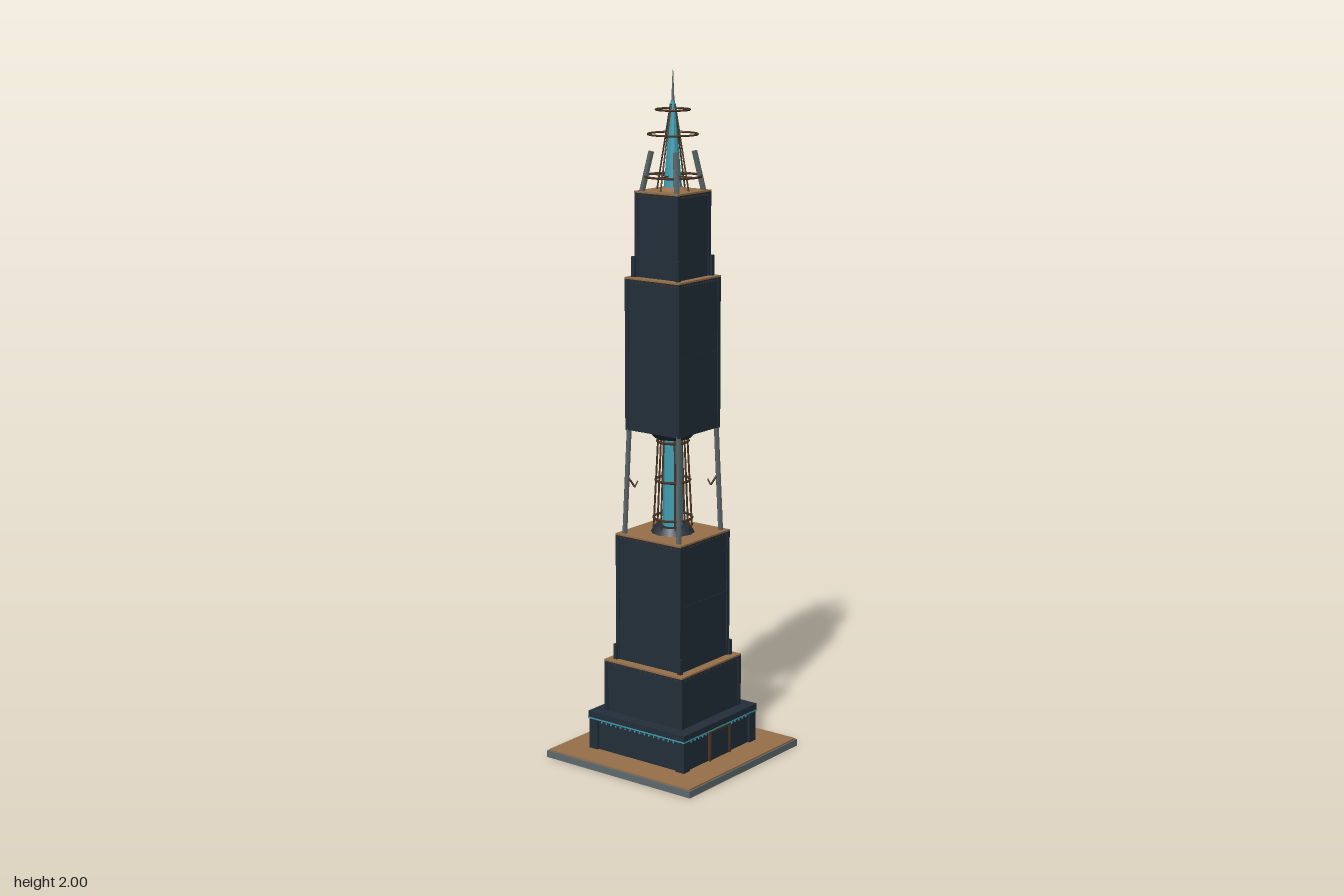
import * as THREE from 'three';
import { mergeGeometries } from 'three/addons/utils/BufferGeometryUtils.js';

const mat = (name, color) => {
  const m = new THREE.MeshStandardMaterial({ color });
  m.name = name;
  return m;
};

export function createModel() {
  const slate = mat('dark slate', 0x232f3a);
  const bronze = mat('bronze', 0x966f4a);
  const darkBronze = mat('dark bronze', 0x4a3522);
  const steel = mat('steel', 0x5f6b6e);
  const glass = mat('teal glass', 0x3f9fb2);

  const group = new THREE.Group();
  group.name = 'tower';
  const add = (name, geo, material) => {
    const m = new THREE.Mesh(geo, material);
    m.name = name;
    group.add(m);
    return m;
  };
  // Box given its centre x, z and its bottom and top heights
  const box = (w, d, y0, y1, x = 0, z = 0) =>
    new THREE.BoxGeometry(w, y1 - y0, d).translate(x, (y0 + y1) / 2, z);
  // Straight bar between two points
  const bar = (a, b, r, sides = 5) => {
    const p = new THREE.Vector3(...a), q = new THREE.Vector3(...b);
    const dir = q.clone().sub(p);
    const g = new THREE.CylinderGeometry(r, r, dir.length(), sides);
    g.applyQuaternion(new THREE.Quaternion().setFromUnitVectors(new THREE.Vector3(0, 1, 0), dir.normalize()));
    return g.translate((p.x + q.x) / 2, (p.y + q.y) / 2, (p.z + q.z) / 2);
  };
  const drum = (rTop, rBottom, y0, y1, sides) =>
    new THREE.CylinderGeometry(rTop, rBottom, y1 - y0, sides).toNonIndexed().translate(0, (y0 + y1) / 2, 0);
  const hoop = (r, y, tube) =>
    new THREE.TorusGeometry(r, tube, 5, 24).rotateX(Math.PI / 2).translate(0, y, 0);
  const corners = [[1, 1], [1, -1], [-1, -1], [-1, 1]];

  // Row of studs around all four faces
  const studs = (half, y, count, s = 0.004) => {
    const list = [];
    for (let side = 0; side < 4; side++) {
      for (let i = 0; i < count; i++) {
        const x = ((i + 0.5) / count - 0.5) * 2 * half * 0.94;
        list.push(new THREE.BoxGeometry(s, s, 0.004).translate(x, y, half).rotateY(side * Math.PI / 2));
      }
    }
    return mergeGeometries(list);
  };

  // Ground slab
  add('baseSlab', box(0.528, 0.528, 0, 0.02), steel);
  add('basePaving', box(0.518, 0.518, 0.02, 0.024), bronze);

  // Entrance storey with cornice and corner piers
  add('entranceStorey', box(0.336, 0.336, 0.024, 0.116), slate);
  add('cornice', box(0.354, 0.354, 0.12, 0.138), slate);
  add('corniceLight', box(0.356, 0.356, 0.116, 0.12), glass);
  add('corniceStuds', studs(0.169, 0.108, 18), glass);
  add('entrancePiers', mergeGeometries(corners.map(([x, z]) =>
    box(0.03, 0.03, 0.024, 0.116, x * 0.16, z * 0.16))), slate);
  add('door', box(0.09, 0.008, 0.024, 0.112, 0, 0.168), slate);
  add('doorFrame', mergeGeometries([
    box(0.007, 0.012, 0.024, 0.114, -0.047, 0.17),
    box(0.007, 0.012, 0.024, 0.114, 0.047, 0.17),
    box(0.1, 0.012, 0.109, 0.115, 0, 0.17),
  ]), darkBronze);

  // Stepped square tiers: half width, bottom, top, mid band
  const tiers = [
    ['lowerTier', 0.143, 0.138, 0.295, false],
    ['middleTier', 0.118, 0.295, 0.675, true],
    ['upperTier', 0.097, 0.98, 1.422, true],
    ['topTier', 0.077, 1.422, 1.665, false],
  ];
  for (const [name, h, y0, y1, band] of tiers) {
    const w = 2 * h - 0.006;
    const parts = [box(w, w, y0, y1 - 0.005)];
    for (const [x, z] of corners) {
      parts.push(box(0.012, 0.012, y0, y1 - 0.005, x * (h - 0.006), z * (h - 0.006)));
    }
    if (band) parts.push(box(2 * h - 0.002, 2 * h - 0.002, (y0 + y1) / 2 - 0.006, (y0 + y1) / 2 + 0.006));
    add(name, mergeGeometries(parts), slate);
    add(name + 'Roof', box(2 * h, 2 * h, y1 - 0.005, y1), bronze);
    add(name + 'Studs', studs(h - 0.003, y1 - 0.012, 14), darkBronze);
  }

  // Small corner buttresses where a tier steps back
  for (const [h, y0, y1] of [[0.118, 0.295, 0.34], [0.078, 1.422, 1.48]]) {
    add('cornerButtresses', mergeGeometries(corners.map(([x, z]) =>
      box(0.012, 0.012, y0, y1, x * h, z * h))), slate);
  }

  // Open storey: leaning corner columns with short broken braces
  add('cornerColumns', mergeGeometries(corners.map(([x, z]) =>
    bar([x * 0.099, 0.67, z * 0.099], [x * 0.089, 0.985, z * 0.089], 0.009, 4))), steel);
  add('columnBraces', mergeGeometries(corners.flatMap(([x, z]) => [
    bar([x * 0.094, 0.845, z * 0.094], [x * 0.078, 0.81, z * 0.078], 0.003),
    bar([x * 0.078, 0.81, z * 0.078], [x * 0.072, 0.828, z * 0.072], 0.002),
  ])), darkBronze);

  // Glass core within a lattice cage
  add('coreFoot', drum(0.052, 0.064, 0.675, 0.695, 12), slate);
  add('coreCap', drum(0.078, 0.052, 0.955, 0.981, 12), slate);
  add('glassCore', drum(0.026, 0.03, 0.69, 0.96, 10), glass).geometry.computeVertexNormals();
  const cage = [];
  for (let i = 0; i < 8; i++) {
    const c = Math.cos(i * Math.PI / 4), s = Math.sin(i * Math.PI / 4);
    cage.push(bar([c * 0.056, 0.69, s * 0.056], [c * 0.042, 0.96, s * 0.042], 0.003));
  }
  for (const [r, y] of [[0.056, 0.718], [0.05, 0.83], [0.045, 0.945]]) cage.push(hoop(r, y, 0.004));
  add('coreCage', mergeGeometries(cage), darkBronze);

  // Crown: glass spire, needle, struts and floating hoops
  add('spireFoot', drum(0.03, 0.045, 1.665, 1.675, 12), bronze);
  const spire = add('glassSpire', drum(0.006, 0.026, 1.67, 1.915, 10), glass);
  spire.geometry.computeVertexNormals();
  add('needle', new THREE.CylinderGeometry(0.001, 0.005, 0.09, 6).translate(0, 1.955, 0), steel);
  const struts = [];
  for (let i = 0; i < 4; i++) {
    const c = Math.round(Math.cos(i * Math.PI / 2)), s = Math.round(Math.sin(i * Math.PI / 2));
    struts.push(bar([c * 0.056, 1.665, s * 0.056], [c * 0.008, 1.905, s * 0.008], 0.0025));
    struts.push(bar([c * 0.02, 1.705, s * 0.02], [c * 0.08, 1.705, s * 0.08], 0.0025));
  }
  add('crownStruts', mergeGeometries(struts), darkBronze);
  add('crownHoops', mergeGeometries([
    hoop(0.08, 1.705, 0.0035), hoop(0.07, 1.822, 0.003), hoop(0.048, 1.89, 0.003),
  ]), darkBronze);

  // Leaning fins on the crown corners
  add('crownFins', mergeGeometries(corners.map(([x, z]) =>
    bar([x * 0.062, 1.66, z * 0.062], [x * 0.043, 1.775, z * 0.043], 0.01, 4))), steel);

  return group;
}
